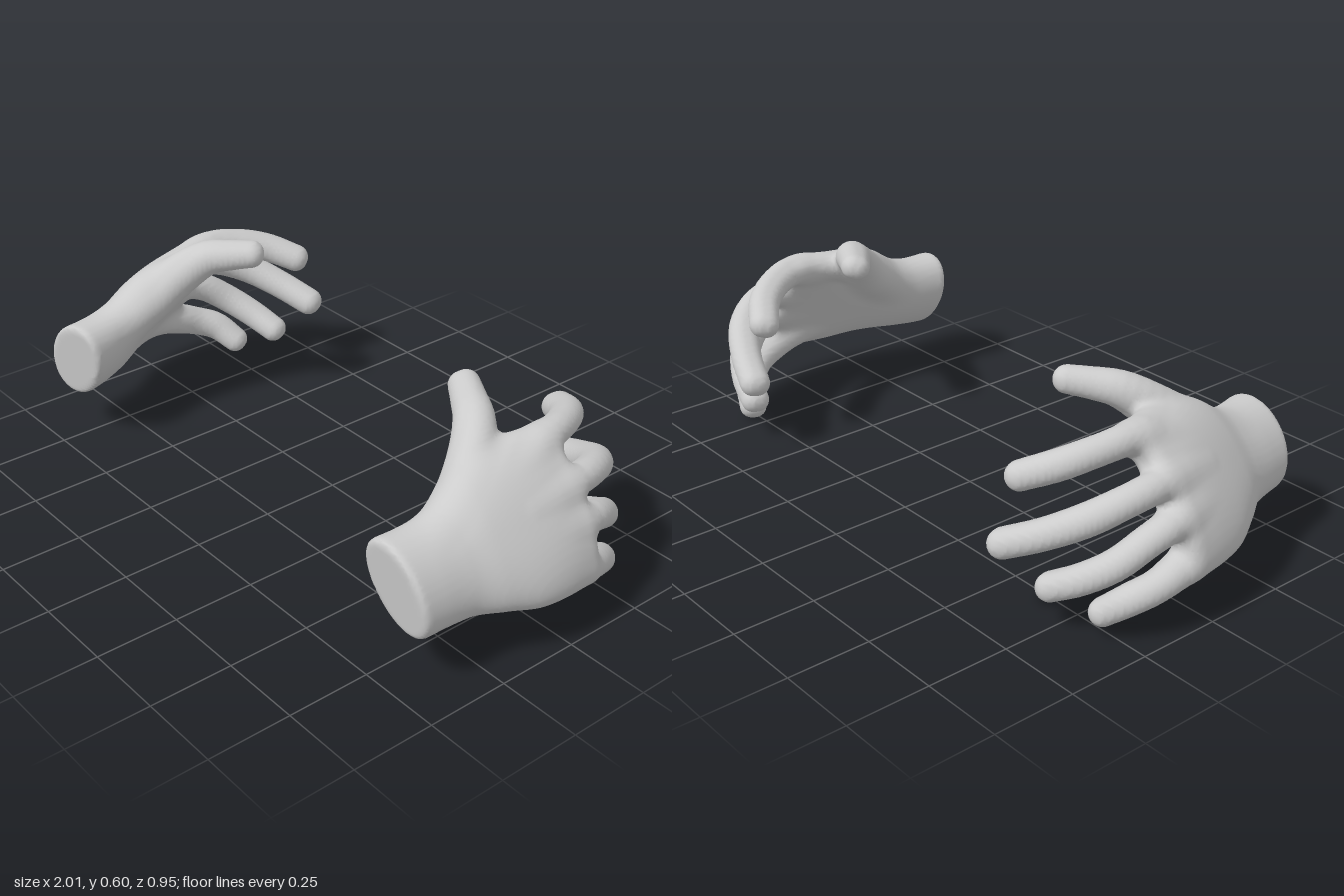
import * as THREE from 'three';

const V = (x, y, z) => new THREE.Vector3(x, y, z);
const material = new THREE.MeshStandardMaterial({ color: 0xcccccc });

// Directions across the tilted hand: towards the thumb edge, and out of its back
const across = V(-0.55, 0.835, 0).normalize();
const outward = V(0.835, 0.55, 0).normalize();

// Soft union and soft intersection of two distances
function smin(a, b, k) {
  const h = Math.max(k - Math.abs(a - b), 0);
  return Math.min(a, b) - h * h / (4 * k);
}
const smax = (a, b, k) => -smin(-a, -b, k);

// Distance to a tapered limb through [x, y, z, radius] points, deepened by pad on its inner side
function limb(pad, points) {
  const path = new THREE.CatmullRomCurve3(points.map(p => V(p[0], p[1], p[2])));
  const radii = new THREE.CatmullRomCurve3(points.map((p, i) => V(p[3], i, 0)));
  const steps = 18;
  const c = path.getPoints(steps), r = radii.getPoints(steps).map(p => p.x);
  const along = c.slice(1).map((p, i) => p.clone().sub(c[i]));
  const back = along.map(u => u.clone().cross(across).normalize());
  const q = V(0, 0, 0);
  return (x, y, z) => {
    let best = Infinity;
    for (let i = 0; i < steps; i++) {
      q.set(x, y, z).sub(c[i]);
      const h = THREE.MathUtils.clamp(q.dot(along[i]) / along[i].lengthSq(), 0, 1);
      q.addScaledVector(along[i], -h);
      q.addScaledVector(back[i], -THREE.MathUtils.clamp(q.dot(back[i]), -pad, 0));
      best = Math.min(best, q.length() - r[i] - h * (r[i + 1] - r[i]));
    }
    return best;
  };
}

// Distance to wrist and palm: sections [x, y, z, half width, half thickness, arch],
// oval at the wrist and squarer towards the knuckles
function palm() {
  const sections = [
    [0.805, 0.284, 0.480, 0.142, 0.103, 0],
    [0.810, 0.286, 0.380, 0.141, 0.097, 0],
    [0.818, 0.297, 0.290, 0.148, 0.090, 0],
    [0.833, 0.323, 0.200, 0.186, 0.084, 0],
    [0.850, 0.329, 0.100, 0.212, 0.075, 0.008],
    [0.853, 0.334, 0.000, 0.222, 0.064, 0.022],
    [0.849, 0.338, -0.120, 0.222, 0.047, 0.035]
  ];
  const steps = 80;
  const centers = new THREE.CatmullRomCurve3(sections.map(s => V(s[0], s[1], s[2]))).getPoints(steps);
  const sizes = new THREE.CatmullRomCurve3(sections.map(s => V(s[3], s[4], s[5]))).getPoints(steps);
  const c = V(0, 0, 0), size = V(0, 0, 0);
  return (x, y, z) => {
    let i = 0;
    while (i < steps - 1 && centers[i + 1].z > z) i++;
    const h = THREE.MathUtils.clamp((centers[i].z - z) / (centers[i].z - centers[i + 1].z), 0, 1);
    c.lerpVectors(centers[i], centers[i + 1], h);
    size.lerpVectors(sizes[i], sizes[i + 1], h);
    const s = Math.abs((x - c.x) * across.x + (y - c.y) * across.y) / size.x;
    const arch = size.z * Math.max(0, 1 - s * s);
    const t = Math.abs((x - c.x) * outward.x + (y - c.y) * outward.y - arch) / size.y;
    const n = 2.6 - 0.6 * THREE.MathUtils.smoothstep(z, 0.05, 0.35);
    const k = Math.max((s ** n + t ** n) ** (1 / n), 1e-4);
    const slope = Math.hypot(s ** (n - 1) / size.x, t ** (n - 1) / size.y) * k ** (1 - n);
    const oval = (k - 1) / Math.max(slope, 1);
    // Slanted wrist cut, and the edge between the finger roots
    const cut = smax(oval, z - 0.473 - (y - 0.41) * 0.11, 0.02);
    return smax(cut, -0.115 - z, 0.04);
  };
}

// The whole hand as one soft union; lift raises the end of the little finger
function handField(lift) {
  const body = palm();
  const limbs = {
    thumb: limb(0.012, [
      [0.790, 0.340, 0.330, 0.055], [0.754, 0.405, 0.200, 0.066], [0.700, 0.487, 0.100, 0.061],
      [0.634, 0.544, 0.032, 0.051], [0.570, 0.558, -0.010, 0.044], [0.511, 0.566, -0.048, 0.039]
    ]),
    thumbWeb: limb(0, [
      [0.715, 0.460, 0.120, 0.038], [0.727, 0.484, 0.035, 0.038], [0.760, 0.494, -0.060, 0.036]
    ]),
    indexFinger: limb(0.012, [
      [0.800, 0.445, 0.060, 0.028], [0.768, 0.497, -0.100, 0.041], [0.732, 0.489, -0.200, 0.041],
      [0.670, 0.461, -0.287, 0.042], [0.588, 0.425, -0.344, 0.040]
    ]),
    middleFinger: limb(0.012, [
      [0.865, 0.385, 0.060, 0.028], [0.864, 0.400, -0.100, 0.042], [0.838, 0.388, -0.210, 0.042],
      [0.774, 0.347, -0.302, 0.044], [0.676, 0.293, -0.362, 0.042], [0.576, 0.246, -0.397, 0.041]
    ]),
    ringFinger: limb(0.012, [
      [0.895, 0.312, 0.060, 0.028], [0.912, 0.308, -0.110, 0.042], [0.887, 0.279, -0.197, 0.042],
      [0.840, 0.225, -0.267, 0.042], [0.764, 0.172, -0.313, 0.041], [0.684, 0.129, -0.335, 0.039]
    ]),
    littleFinger: limb(0.012, [
      [0.918, 0.225, 0.060, 0.032], [0.932, 0.180, -0.100, 0.046], [0.910, 0.148, -0.180, 0.043],
      [0.868, 0.104 + lift / 2, -0.238, 0.042], [0.807, 0.042 + lift, -0.270, 0.038]
    ])
  };
  const list = Object.values(limbs);
  return (x, y, z) => list.reduce((d, f) => smin(d, f(x, y, z), 0.03), body(x, y, z));
}

// Skins the zero surface of a field: one vertex per crossed cell, one quad per crossed edge
function skin(field, min, max, cell) {
  const n = ['x', 'y', 'z'].map(a => Math.ceil((max[a] - min[a]) / cell) + 1);
  const stride = [1, n[0], n[0] * n[1]];
  const values = new Float32Array(n[0] * n[1] * n[2]);
  const point = (i, j, k) => V(min.x + i * cell, min.y + j * cell, min.z + k * cell);
  const eachCell = visit => {
    for (let k = 0; k < n[2] - 1; k++)
      for (let j = 0; j < n[1] - 1; j++)
        for (let i = 0; i < n[0] - 1; i++) visit(i, j, k, i + j * stride[1] + k * stride[2]);
  };
  // Border values stay outside the hand
  values.fill(1);
  eachCell((i, j, k, id) => { values[id] = field(...point(i, j, k)); });

  const pos = [], index = [], vertexOf = new Map(), e = cell * 0.1;
  eachCell((i, j, k, id) => {
    const sum = V(0, 0, 0);
    let count = 0;
    for (let corner = 0; corner < 8; corner++) {
      const o = [corner & 1, (corner >> 1) & 1, corner >> 2];
      const from = id + o[0] + o[1] * stride[1] + o[2] * stride[2];
      for (let a = 0; a < 3; a++) {
        if (o[a]) continue;
        const v0 = values[from], v1 = values[from + stride[a]];
        if ((v0 < 0) === (v1 < 0)) continue;
        const q = [i + o[0], j + o[1], k + o[2]];
        q[a] += v0 / (v0 - v1);
        sum.add(point(...q));
        count++;
      }
    }
    if (!count) return;
    // Settle the vertex onto the surface
    const p = sum.divideScalar(count), d = field(p.x, p.y, p.z);
    const slope = V(
      field(p.x + e, p.y, p.z) - d, field(p.x, p.y + e, p.z) - d, field(p.x, p.y, p.z + e) - d
    ).divideScalar(e);
    p.addScaledVector(slope, -d / Math.max(slope.lengthSq(), 0.25));
    vertexOf.set(id, pos.length / 3);
    pos.push(p.x, p.y, p.z);
  });

  eachCell((i, j, k, id) => {
    for (let a = 0; a < 3; a++) {
      const inside = values[id] < 0;
      if (inside === (values[id + stride[a]] < 0)) continue;
      const b = stride[(a + 1) % 3], c = stride[(a + 2) % 3];
      const quad = [id, id - b, id - b - c, id - c].map(q => vertexOf.get(q));
      if (!inside) quad.reverse();
      index.push(quad[0], quad[1], quad[2], quad[0], quad[2], quad[3]);
    }
  });
  const g = new THREE.BufferGeometry();
  g.setAttribute('position', new THREE.Float32BufferAttribute(pos, 3));
  g.setIndex(index);
  return g;
}

function makeHand(name, mirrored, lift) {
  const g = skin(handField(lift), V(0.42, -0.04, -0.49), V(1.06, 0.66, 0.52), 0.0105);
  if (mirrored) {
    g.scale(-1, 1, 1);
    g.setIndex(Array.from(g.index.array).reverse());
  }
  g.computeVertexNormals();
  const hand = new THREE.Mesh(g, material);
  hand.name = name;
  return hand;
}

export function createModel() {
  const model = new THREE.Group();
  model.name = 'pairOfHands';
  const left = makeHand('leftHand', false, 0);
  const right = makeHand('rightHand', true, 0.03);
  // The right hand is turned a little outwards
  right.rotation.y = 0.183;
  right.position.set(-0.017, 0, -0.149);
  model.add(left, right);
  return model;
}
